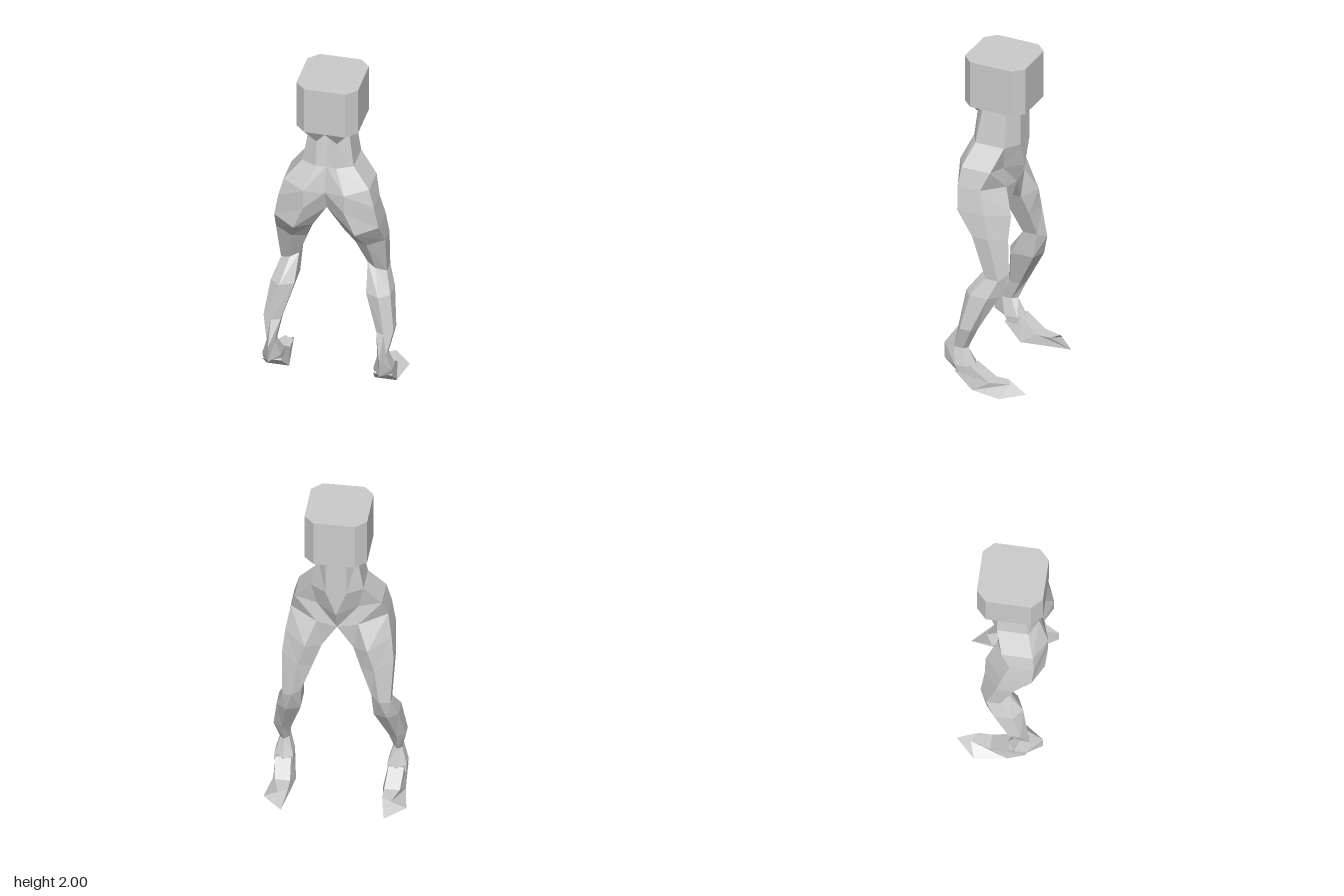
import * as THREE from 'three';

const material = new THREE.MeshStandardMaterial({ color: 0xcccccc, flatShading: true });

// Half-body ring of six points, running from the midline at +z round the outside to -z.
// Heights run straight from the inner side to the outer side.
function ring([yIn, yOut, xIn, xMid, xOut, zA, zB, zC, zD, zE, zF]) {
  const xs = [xIn, xMid, xOut, xOut, xMid, xIn];
  return [zA, zB, zC, zD, zE, zF].map((z, i) => {
    const t = (xs[i] - xIn) / (xOut - xIn);
    return [xs[i], yIn + (yOut - yIn) * t, z];
  });
}

// Joins rings with flat faces; faces lying on the mirror plane are left out.
function loft(rings, side, capStart, capEnd) {
  const pos = [];
  const tri = (a, b, c) => {
    if (a[0] === 0 && b[0] === 0 && c[0] === 0) return;
    const order = side > 0 ? [a, b, c] : [a, c, b];
    for (const p of order) pos.push(p[0] * side, p[1], p[2]);
  };
  for (let i = 0; i < rings.length - 1; i++) {
    const r = rings[i], s = rings[i + 1], n = r.length;
    for (let j = 0; j < n; j++) {
      const k = (j + 1) % n;
      tri(r[j], s[j], s[k]);
      tri(r[j], s[k], r[k]);
    }
  }
  const fan = (r) => { for (let j = 1; j < r.length - 1; j++) tri(r[0], r[j], r[j + 1]); };
  if (capStart) fan(rings[0]);
  if (capEnd) fan([...rings[rings.length - 1]].reverse());
  const g = new THREE.BufferGeometry();
  g.setAttribute('position', new THREE.Float32BufferAttribute(pos, 3));
  g.computeVertexNormals();
  return g;
}

// Columns: yIn, yOut, xIn, xMid, xOut, then z of the six points
const torso = [
  [1.69, 1.69, 0, 0.06, 0.115, 0.15, 0.17, 0.11, -0.04, -0.10, -0.10], // neck
  [1.47, 1.47, 0, 0.06, 0.15, 0.18, 0.19, 0.14, -0.04, -0.10, -0.10],  // waist
  [1.31, 1.35, 0, 0.12, 0.25, 0.21, 0.25, 0.18, 0.0, -0.02, -0.10],    // hips
  [1.19, 1.24, 0, 0.12, 0.28, 0.17, 0.25, 0.19, 0.05, -0.04, -0.05],   // crotch
].map(ring);
torso[0][1][1] = 1.625; // notched neckline

const leg = [
  [1.04, 1.10, 0.09, 0.18, 0.305, 0.14, 0.24, 0.18, 0.01, -0.10, -0.03], // upper thigh
  [0.91, 0.96, 0.14, 0.22, 0.32, 0.06, 0.12, 0.08, -0.02, -0.10, -0.06], // thigh
  [0.75, 0.70, 0.20, 0.25, 0.31, 0.01, 0.03, 0.0, -0.08, -0.12, -0.08],  // knee
  [0.59, 0.59, 0.21, 0.29, 0.35, 0.09, 0.13, 0.08, -0.03, -0.08, -0.05], // calf
  [0.36, 0.38, 0.28, 0.33, 0.38, 0.13, 0.16, 0.13, 0.06, 0.04, 0.07],    // shin
  [0.24, 0.24, 0.30, 0.325, 0.35, 0.19, 0.25, 0.18, 0.12, 0.10, 0.13],   // ankle
  [0.14, 0.14, 0.27, 0.325, 0.38, 0.16, 0.25, 0.16, 0.09, 0.05, 0.08],   // heel
  [0.10, 0.10, 0.27, 0.325, 0.38, 0.14, 0.16, 0.14, 0.08, 0.05, 0.08],   // heel base
].map(ring);

// Foot sections: inner sole, outer sole, outer top, inner top
const foot = [
  [[0.27, 0.10, 0.16], [0.38, 0.10, 0.16], [0.37, 0.14, 0.06], [0.28, 0.14, 0.06]],
  [[0.25, 0, 0.05], [0.38, 0, 0.05], [0.36, 0.06, -0.05], [0.27, 0.06, -0.05]],
  [[0.295, 0, -0.25], [0.41, 0, -0.135], [0.325, 0.06, -0.165], [0.27, 0.06, -0.13]],
];

// Eight-sided head block, tapering below into the neckline
const block = (y) => ring([y, y, 0, 0.12, 0.18, 0.22, 0.22, 0.16, -0.10, -0.16, -0.16]);
const head = [block(2), block(1.71), torso[0]];

export function createModel() {
  const model = new THREE.Group();
  const add = (parent, name, geometry) => {
    const mesh = new THREE.Mesh(geometry, material);
    mesh.name = name;
    parent.add(mesh);
  };
  for (const side of [1, -1]) {
    const half = new THREE.Group();
    half.name = side > 0 ? 'leftHalf' : 'rightHalf';
    add(half, 'head', loft(head, side, true, false));
    add(half, 'torso', loft(torso, side, false, false));
    add(half, 'leg', loft([torso[3], ...leg], side, false, true));
    add(half, 'foot', loft(foot, side, true, true));
    model.add(half);
  }
  return model;
}
